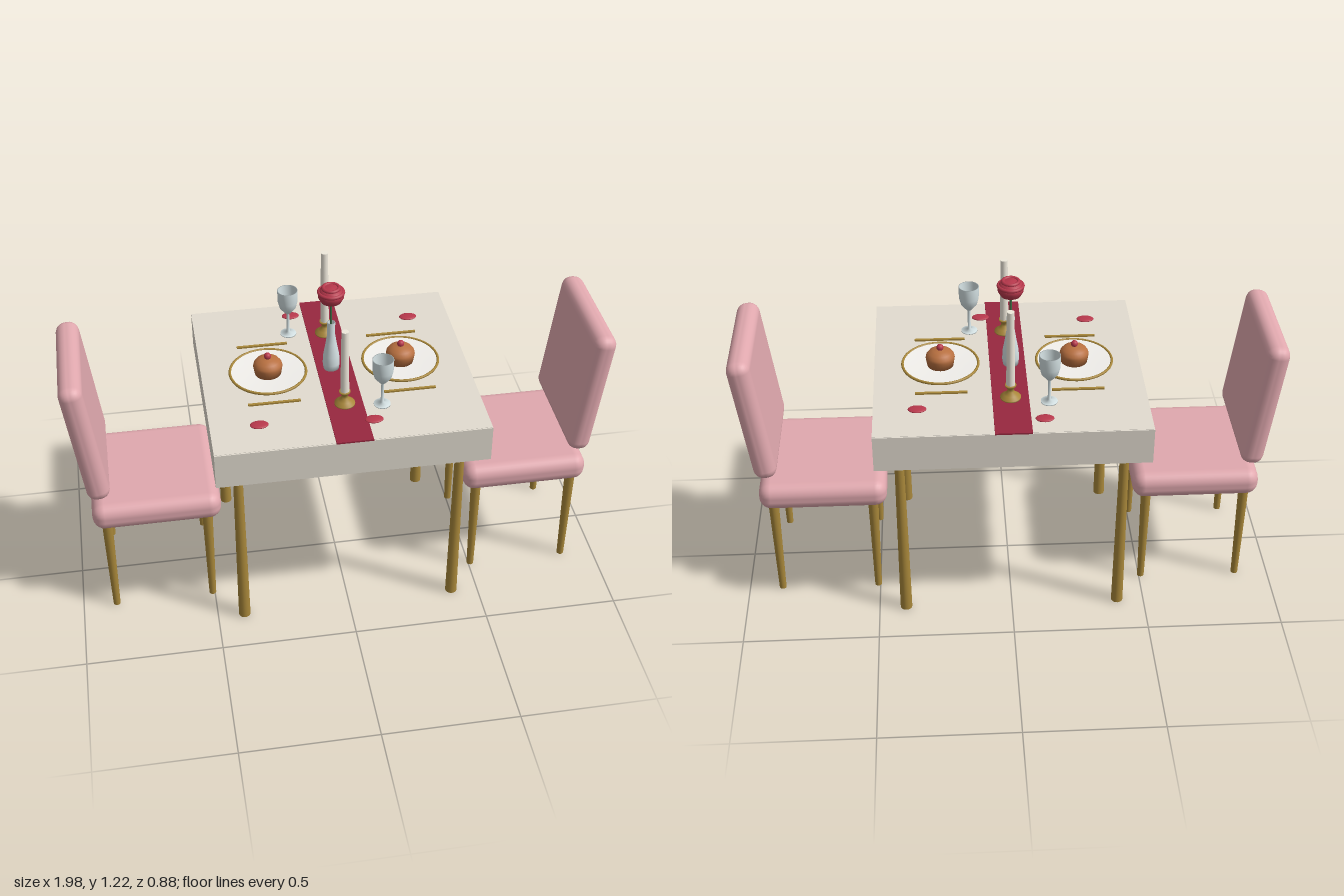
import * as THREE from 'three';
import { RoundedBoxGeometry } from 'three/addons/geometries/RoundedBoxGeometry.js';

const mat = (color, side = THREE.FrontSide) => new THREE.MeshStandardMaterial({ color, side });
const PINK = mat(0xe0a8ae), GOLD = mat(0xa8873a), CLOTH = mat(0xe2dcd0), WOOD = mat(0xc9ae88);
const RUNNER = mat(0x98283f), CHINA = mat(0xf2f0ec, THREE.DoubleSide), CAKE = mat(0xb87040);
const RED = mat(0xb8384c), GLASS = mat(0xd3e0e2, THREE.DoubleSide), WINE = mat(0x6a1428);
const WAX = mat(0xefe9dc), GREEN = mat(0x3f6b45);
const TOP = 0.86;

function add(parent, name, geometry, material, x = 0, y = 0, z = 0) {
  const mesh = new THREE.Mesh(geometry, material);
  mesh.name = name;
  mesh.position.set(x, y, z);
  parent.add(mesh);
  return mesh;
}

function group(parent, name, x = 0, y = 0, z = 0) {
  const g = new THREE.Group();
  g.name = name;
  g.position.set(x, y, z);
  parent.add(g);
  return g;
}

const lathe = (points, segments = 32) =>
  new THREE.LatheGeometry(points.map(([r, y]) => new THREE.Vector2(r, y)), segments);
const cyl = (rTop, rBottom, h, segments = 16) => new THREE.CylinderGeometry(rTop, rBottom, h, segments);
const box = (w, h, d) => new THREE.BoxGeometry(w, h, d);

function buildTable(root) {
  const table = group(root, 'table');
  add(table, 'tableTop', box(0.95, 0.022, 0.86), WOOD, 0, 0.842, 0);
  add(table, 'clothTop', box(0.97, 0.008, 0.87), CLOTH, 0, TOP - 0.004, 0);
  // Hanging sides of the cloth, open below
  for (const s of [-1, 1]) {
    add(table, 'clothSide', box(0.006, 0.138, 0.88), CLOTH, s * 0.482, 0.79, 0);
    add(table, 'clothFront', box(0.97, 0.138, 0.006), CLOTH, 0, 0.79, s * 0.437);
    for (const t of [-1, 1])
      add(table, 'tableLeg', cyl(0.016, 0.022, 0.835), GOLD, s * 0.4, 0.4175, t * 0.335);
  }
  add(table, 'runner', box(0.13, 0.006, 0.884), RUNNER, 0, TOP + 0.002, 0);
}

function buildChair(root, side) {
  const chair = group(root, side > 0 ? 'leftChair' : 'rightChair');
  if (side < 0) chair.rotation.y = Math.PI;
  add(chair, 'seat', new RoundedBoxGeometry(0.47, 0.105, 0.486, 3, 0.045), PINK, 0.69, 0.4475, 0);
  const back = add(chair, 'backrest', new RoundedBoxGeometry(0.085, 0.5, 0.466, 3, 0.038), PINK, 0.919, 0.78, 0);
  back.rotation.z = -0.125;
  for (const x of [0.508, 0.875])
    for (const z of [-0.2, 0.2]) add(chair, 'chairLeg', cyl(0.019, 0.013, 0.4), GOLD, x, 0.2, z);
}

function buildSetting(root, x) {
  const setting = group(root, 'placeSetting', x, TOP, 0);
  // Plate with a gold rim
  add(setting, 'plate', lathe([[0, 0], [0.09, 0], [0.14, 0.012], [0.14, 0.016], [0.09, 0.009], [0, 0.009]], 40), CHINA);
  const rim = add(setting, 'plateRim', new THREE.TorusGeometry(0.138, 0.005, 8, 40), GOLD, 0, 0.014, 0);
  rim.rotation.x = Math.PI / 2;
  // Small domed cake with a cherry
  add(setting, 'cake', lathe([[0, 0.009], [0.048, 0.009], [0.053, 0.04], [0.051, 0.05],
    [0.042, 0.062], [0.025, 0.071], [0, 0.075]]), CAKE);
  add(setting, 'cherry', new THREE.SphereGeometry(0.013, 16, 12), RED, 0, 0.081, 0);
  for (const z of [-0.18, 0.178]) add(setting, 'cutlery', box(0.187, 0.006, 0.01), GOLD, 0, 0.004, z);
}

function buildGlass(root, x, z) {
  const glass = group(root, 'wineGlass', x, TOP, z);
  add(glass, 'glassBody', lathe([[0, 0], [0.03, 0], [0.03, 0.004], [0.006, 0.01], [0.005, 0.088],
    [0.014, 0.098], [0.03, 0.118], [0.037, 0.145], [0.038, 0.192], [0.035, 0.192],
    [0.034, 0.145], [0.027, 0.12], [0.012, 0.104], [0, 0.1]]), GLASS);
  add(glass, 'wine', cyl(0.027, 0.014, 0.015, 24), WINE, 0, 0.114, 0);
}

function buildCandle(root, z, top) {
  const candle = group(root, 'candlestick', 0, TOP + 0.004, z);
  add(candle, 'candleHolder', lathe([[0, 0], [0.037, 0], [0.037, 0.006], [0.024, 0.016], [0.012, 0.028],
    [0.011, 0.038], [0.02, 0.05], [0.02, 0.056], [0, 0.056]]), GOLD);
  const h = top - TOP - 0.056;
  add(candle, 'candle', cyl(0.013, 0.016, h), WAX, 0, 0.052 + h / 2, 0);
}

function buildRose(root) {
  const flower = group(root, 'roseInVase', -0.012, TOP + 0.004, 0);
  add(flower, 'vase', lathe([[0, 0], [0.028, 0], [0.031, 0.025], [0.029, 0.06], [0.02, 0.11], [0.014, 0.15],
    [0.015, 0.198], [0.012, 0.198], [0.011, 0.15], [0, 0.14]]), GLASS);
  add(flower, 'stem', cyl(0.004, 0.004, 0.15, 8), GREEN, 0, 0.215, 0);
  // Cupped bloom with rolled petal rings
  add(flower, 'bloom', lathe([[0, 0.276], [0.018, 0.278], [0.036, 0.288], [0.046, 0.306], [0.047, 0.32],
    [0.04, 0.334], [0.028, 0.344], [0, 0.346]]), RED);
  for (const [r, y] of [[0.043, 0.326], [0.028, 0.342]]) {
    const ring = add(flower, 'petalRing', new THREE.TorusGeometry(r, 0.007, 8, 28), RED, 0, y, 0);
    ring.rotation.x = Math.PI / 2;
  }
}

export function createModel() {
  const root = new THREE.Group();
  root.name = 'diningSet';
  buildTable(root);
  for (const s of [-1, 1]) {
    buildChair(root, s);
    buildSetting(root, s * 0.244);
  }
  buildGlass(root, -0.135, -0.248);
  buildGlass(root, 0.131, 0.242);
  buildCandle(root, 0.223, 1.17);
  buildCandle(root, -0.223, 1.215);
  buildRose(root);
  // Scattered petals
  for (const [x, z] of [[-0.112, -0.358], [0.33, -0.28], [-0.313, 0.297], [0.086, 0.33]]) {
    const petal = add(root, 'petal', new THREE.SphereGeometry(1, 20, 10), RED, x, TOP + 0.005, z);
    petal.scale.set(0.033, 0.006, 0.023);
  }
  return root;
}
